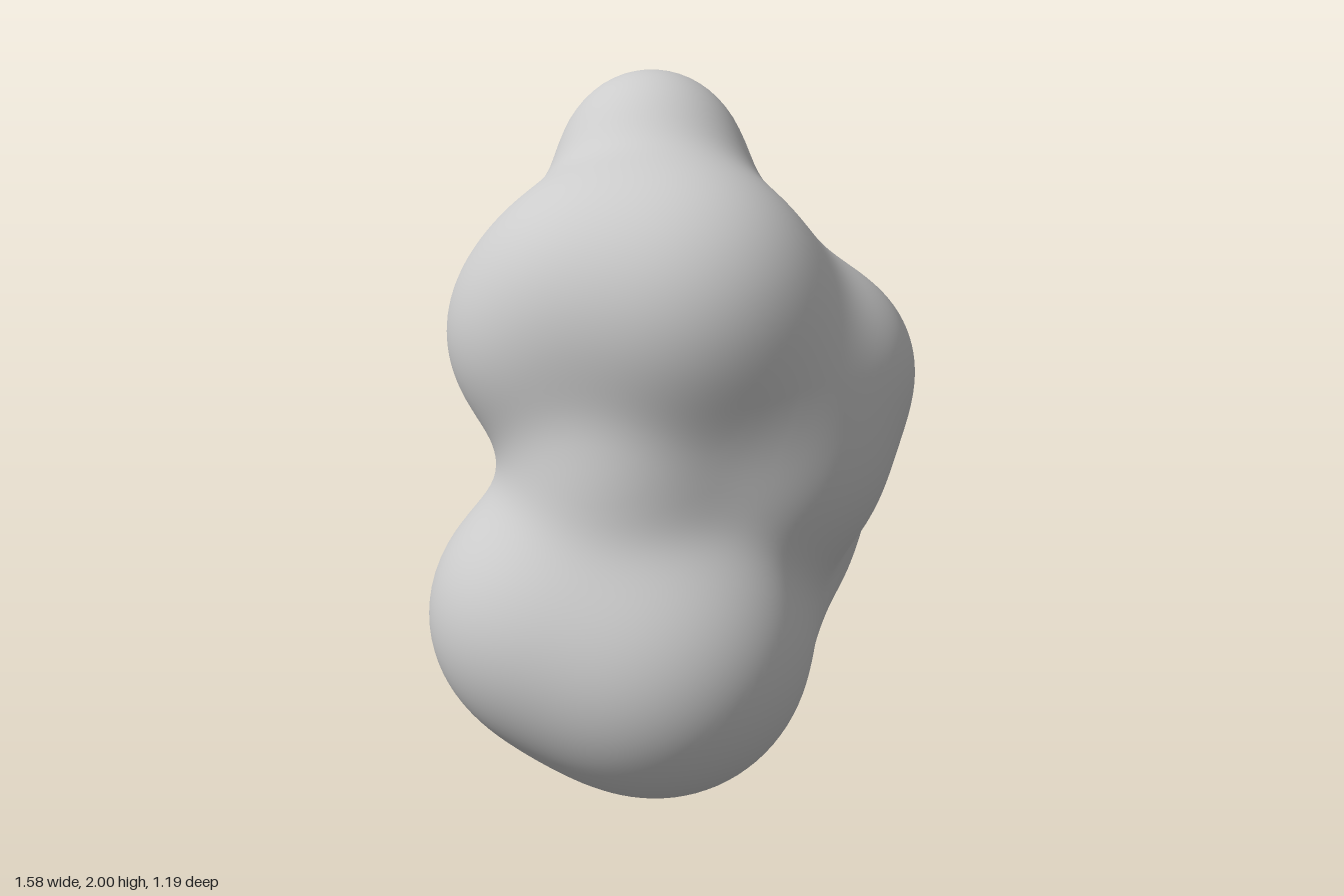
import * as THREE from 'three';
import { mergeVertices } from 'three/addons/utils/BufferGeometryUtils.js';

// Lobes of the blob: x, y, z, radius
const LOBES = [
  [0.05, 1.75, -0.255, 0.245],  // top knob
  [0.04, 1.55, -0.2, 0.19],     // neck under the knob
  [-0.08, 1.41, 0.12, 0.37],    // upper front
  [-0.28, 1.46, -0.02, 0.26],   // upper left shoulder
  [-0.335, 1.3, -0.14, 0.295],  // upper side
  [-0.02, 1.32, -0.24, 0.3],    // upper back
  [0.2, 1.3, -0.04, 0.22],      // saddle towards the shoulder
  [0.1, 1.18, 0.18, 0.25],      // chest
  [0.38, 1.17, 0.13, 0.255],    // shoulder
  [0.17, 0.93, 0.17, 0.315],    // belly
  [0.42, 1.0, -0.1, 0.215],     // flank
  [0.47, 0.85, -0.08, 0.16],    // lower flank
  [0.47, 0.8, -0.17, 0.17],     // slope to the rear corner
  [0.18, 0.95, -0.25, 0.33],    // back
  [-0.25, 0.95, 0.07, 0.28],    // waist
  [0.25, 0.6, -0.13, 0.3],      // underside
  [0.42, 0.53, -0.18, 0.2],     // underside, outer
  [0.1, 0.42, 0.0, 0.26],       // underside, inner
  [0.55, 0.65, -0.34, 0.225],   // rear corner bump
  [-0.2, 0.43, 0.172, 0.417],   // large foot lobe, front
  [-0.41, 0.52, -0.03, 0.365],  // large foot lobe, side
];
const BLEND = 0.08;

// Smoothly blended distance to all lobes
function distance(p) {
  let sum = 0;
  for (const [x, y, z, r] of LOBES) {
    const d = Math.hypot(p.x - x, p.y - y, p.z - z) - r;
    sum += Math.exp(-d / BLEND);
  }
  return -BLEND * Math.log(sum);
}

// Shrink a fine sphere onto the blended lobes
function blobGeometry() {
  let geo = new THREE.IcosahedronGeometry(1, 36);
  geo.deleteAttribute('uv');
  geo.deleteAttribute('normal');
  geo = mergeVertices(geo, 1e-5);
  const centre = new THREE.Vector3(0, 0.98, -0.05);
  const pos = geo.attributes.position;
  const dir = new THREE.Vector3();
  const p = new THREE.Vector3();
  for (let i = 0; i < pos.count; i++) {
    dir.fromBufferAttribute(pos, i).normalize();
    let t = 1.7;
    for (let n = 0; n < 120; n++) {
      const d = distance(p.copy(centre).addScaledVector(dir, t));
      if (d < 1e-4) break;
      t -= d;
    }
    p.copy(centre).addScaledVector(dir, t);
    pos.setXYZ(i, p.x, p.y, p.z);
  }
  geo.computeVertexNormals();
  return geo;
}

export function createModel() {
  const group = new THREE.Group();
  group.name = 'blob';
  const body = new THREE.Mesh(blobGeometry(), new THREE.MeshStandardMaterial({ color: 0xcccccc }));
  body.name = 'lumpyBody';
  group.add(body);
  return group;
}
